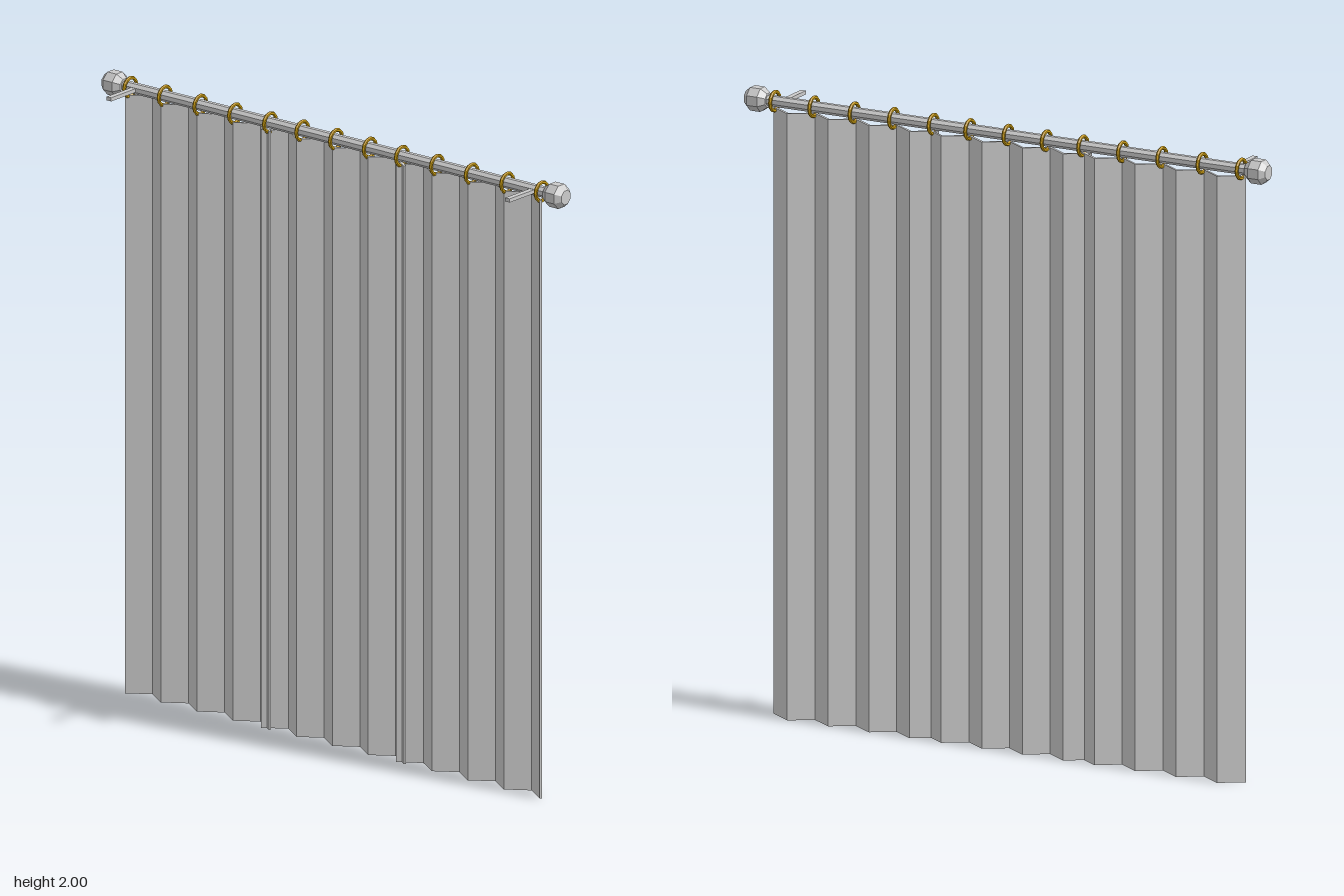
import * as THREE from 'three';

const ROD_Y = 1.963, ROD_Z = -0.048;
const FRONT_Z = -0.03, BACK_Z = -0.077, CLOTH = 0.009;

const grey = new THREE.MeshStandardMaterial({ color: 0xcccccc, flatShading: true });
const gold = new THREE.MeshStandardMaterial({ color: 0xc79a10, flatShading: true });

function add(parent, name, geometry, material, x = 0, y = 0, z = 0) {
  const mesh = new THREE.Mesh(geometry, material);
  mesh.name = name;
  mesh.position.set(x, y, z);
  parent.add(mesh);
  return mesh;
}

// Pleated cloth: a zigzag strip with thickness, extruded upwards
function pleatedPanel(x0, x1, folds, height) {
  const step = (x1 - x0) / folds;
  const front = [], back = [];
  const slope = Math.hypot(step, FRONT_Z - BACK_Z);
  const capX = CLOTH * step * (FRONT_Z - BACK_Z) / slope ** 2;
  const capZ = CLOTH * step * step / slope ** 2;
  for (let i = 0; i <= folds; i++) {
    const x = x0 + i * step, z = i % 2 ? BACK_Z : FRONT_Z;
    // the free ends are cut square to the cloth
    const end = i === 0 ? -1 : i === folds ? 1 : 0;
    front.push(new THREE.Vector2(x, -z));
    back.push(new THREE.Vector2(x + end * capX, -z + (end ? capZ : CLOTH)));
  }
  const shape = new THREE.Shape([...front, ...back.reverse()]);
  const geometry = new THREE.ExtrudeGeometry(shape, { depth: height, bevelEnabled: false });
  return geometry.rotateX(-Math.PI / 2);
}

export function createModel() {
  const model = new THREE.Group();
  model.name = 'curtain';

  // Three overlapping panels
  const panels = [['rightPanel', -0.83, -0.254], ['centrePanel', -0.286, 0.286], ['leftPanel', 0.254, 0.83]];
  for (const [name, x0, x1] of panels) add(model, name, pleatedPanel(x0, x1, 8, 1.94), grey);

  // Rod
  const rod = new THREE.CylinderGeometry(0.018, 0.018, 1.72, 8).rotateY(Math.PI / 8).rotateZ(Math.PI / 2);
  add(model, 'rod', rod, grey, 0, ROD_Y, ROD_Z);

  // Rings, one at each forward fold
  const ringGeometry = new THREE.TorusGeometry(0.03, 0.006, 6, 12).rotateY(Math.PI / 2);
  const half = [0.135, 0.264, 0.404, 0.543, 0.685, 0.823];
  for (const x of [0, ...half, ...half.map(v => -v)]) add(model, 'ring', ringGeometry, gold, x, ROD_Y, ROD_Z);

  // Faceted finials and wall brackets at both ends
  const profile = [[0, 0.845], [0.024, 0.845], [0.04, 0.866], [0.04, 0.902], [0.024, 0.92], [0, 0.92]]
    .map(([r, h]) => new THREE.Vector2(r, h));
  for (const side of [1, -1]) {
    const finial = new THREE.LatheGeometry(profile, 8, Math.PI / 8).rotateZ(-side * Math.PI / 2);
    add(model, 'finial', finial, grey, 0, ROD_Y, ROD_Z);
    const length = 0.087 - ROD_Z;
    add(model, 'bracket', new THREE.BoxGeometry(0.018, 0.012, length), grey, side * 0.797, ROD_Y, ROD_Z + length / 2);
  }
  return model;
}
